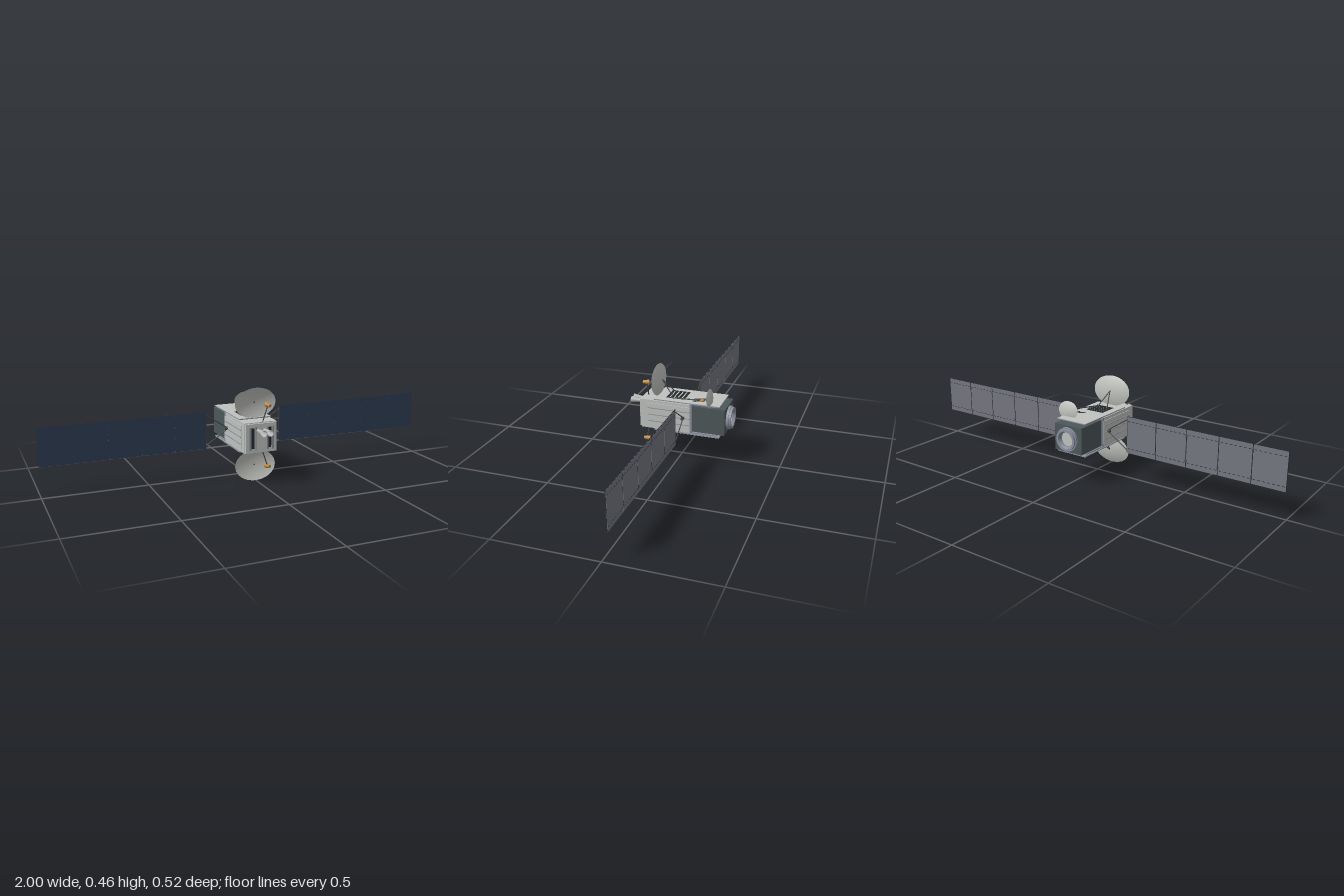
import * as THREE from 'three';

const paint = (name, color, side = THREE.FrontSide) => {
  const m = new THREE.MeshStandardMaterial({ color, side });
  m.name = name;
  return m;
};

export function createModel() {
  const root = new THREE.Group();
  root.name = 'satellite';
  const hull = paint('hull grey', 0xbfc2be);
  const dark = paint('dark blanket', 0x4d5759);
  const steel = paint('blue grey trim', 0x8b909e);
  const strutMat = paint('strut grey', 0x45484b);
  const gold = paint('gold feed', 0xbd8a3e);
  const navy = paint('solar cell navy', 0x2d3c52);
  const backing = paint('panel backing', 0x74767f);
  const black = paint('near black', 0x26292d);
  const dishMat = paint('dish grey', 0xbfc1bc, THREE.DoubleSide);
  const bell = paint('nozzle grey', 0xb4b6b4, THREE.DoubleSide);
  const CY = 0.233;

  const add = (name, geo, mat, x = 0, y = 0, z = 0, parent = root) => {
    const m = new THREE.Mesh(geo, mat);
    m.name = name;
    m.position.set(x, y, z);
    parent.add(m);
    return m;
  };
  const box = (name, mat, w, h, d, x, y, z, parent) =>
    add(name, new THREE.BoxGeometry(w, h, d), mat, x, y, z, parent);
  // Round rod or cone between two points
  const rod = (name, mat, a, b, r1, r2 = r1, parent = root) => {
    const p = new THREE.Vector3(...a), q = new THREE.Vector3(...b);
    const dir = q.clone().sub(p);
    const m = add(name, new THREE.CylinderGeometry(r2, r1, dir.length(), 12), mat, 0, 0, 0, parent);
    m.position.copy(p.add(q).multiplyScalar(0.5));
    m.quaternion.setFromUnitVectors(new THREE.Vector3(0, 1, 0), dir.normalize());
    return m;
  };
  // Shallow oval reflector opening towards +z
  const dish = (name, rx, ry, depth, tilt, x, y, z, parent) => {
    const pts = [];
    for (let i = 0; i <= 10; i++) pts.push(new THREE.Vector2(i / 10, (i / 10) ** 2 - 1));
    const geo = new THREE.LatheGeometry(pts, 40).rotateX(Math.PI / 2).scale(rx, ry, depth);
    add(name, geo, dishMat, x, y, z, parent).rotation.x = tilt;
  };

  // Main body, collar and rear compartment
  box('mainBody', hull, 0.164, 0.148, 0.25, 0, CY, 0.058);
  box('frontPlate', hull, 0.158, 0.14, 0.012, 0, CY, 0.187);
  box('rearCollar', steel, 0.166, 0.149, 0.01, 0, CY, -0.069);
  box('rearCompartment', dark, 0.156, 0.132, 0.165, 0, CY, -0.1545);

  // Docking ring at the rear
  const ring = [[0.034, 0], [0.058, 0], [0.058, 0.012], [0.053, 0.012], [0.053, 0.023],
    [0.042, 0.023], [0.036, 0.01], [0.034, 0.01], [0.034, 0]];
  const ringGeo = new THREE.LatheGeometry(ring.map(p => new THREE.Vector2(...p)), 40)
    .toNonIndexed().rotateX(-Math.PI / 2);
  ringGeo.computeVertexNormals();
  add('rearRing', ringGeo, steel, 0, CY, -0.237);
  add('ringFloor', new THREE.CylinderGeometry(0.035, 0.035, 0.006, 32).rotateX(Math.PI / 2), hull, 0, CY, -0.238);

  // Front rails and twin thrusters
  for (const s of [-1, 1]) {
    box('frontRail', steel, 0.01, 0.113, 0.008, s * 0.058, CY, 0.196);
    box('frontRail', steel, 0.006, 0.113, 0.008, s * 0.03, CY, 0.196);
    box('frontSlot', black, 0.014, 0.1, 0.002, s * 0.044, CY, 0.1935);
    const prof = [[0.008, 0], [0.009, 0.025], [0.0115, 0.045], [0.0155, 0.07]]
      .map(p => new THREE.Vector2(...p));
    add('thruster', new THREE.LatheGeometry(prof, 24).rotateX(Math.PI / 2), bell, s * 0.0165, 0.27, 0.192);
  }

  // Side panels with ribs, hinges, yokes and solar wings
  for (const s of [-1, 1]) {
    box('sidePanel', hull, 0.005, 0.116, 0.218, s * 0.083, CY, 0.044);
    for (const dy of [-0.034, 0, 0.034])
      box('sideRib', steel, 0.004, 0.003, 0.212, s * 0.087, CY + dy, 0.043);

    const wing = new THREE.Group();
    wing.name = s > 0 ? 'leftWing' : 'rightWing';
    wing.position.set(0, CY + 0.002, -0.03);
    root.add(wing);
    rod('wingHinge', strutMat, [s * 0.08, 0, 0], [s * 0.098, 0, 0], 0.01, 0.008, wing);
    for (const v of [-1, 1])
      rod('yokeArm', strutMat, [s * 0.092, v * 0.008, 0], [s * 0.198, v * 0.078, 0], 0.0025, 0.0025, wing);
    rod('yokeBar', strutMat, [s * 0.197, -0.088, 0], [s * 0.197, 0.088, 0], 0.0022, 0.0022, wing);

    for (let i = 0; i < 5; i++) {
      const x = s * (0.195 + 0.161 * (i + 0.5));
      box('panelFrame', black, 0.159, 0.185, 0.002, x, 0, 0, wing);
      box('solarCells', navy, 0.1588, 0.1845, 0.001, x, 0, 0.0015, wing);
      box('panelBack', backing, 0.157, 0.182, 0.001, x, 0, -0.0015, wing);
      if (i < 4) for (const v of [-1, 1])
        box('panelHinge', strutMat, 0.008, 0.014, 0.002, x + s * 0.0805, v * 0.06, -0.002, wing);
      for (let k = 0; k < 7; k++) for (const v of [-1, 1])
        box('backDash', black, 0.012, 0.0025, 0.0008, x + (k - 3) * 0.0225, v * 0.068, -0.0023, wing);
    }
  }

  // Radiator decks, louvres, main dishes and feeds, mirrored top and bottom
  for (const s of [1, -1]) {
    const deck = new THREE.Group();
    deck.name = s > 0 ? 'upperDeck' : 'lowerDeck';
    deck.position.y = CY;
    root.add(deck);
    box('deckEdge', steel, 0.166, 0.004, 0.333, 0, s * 0.0795, -0.0465, deck);
    box('deckSkin', hull, 0.164, 0.002, 0.331, 0, s * 0.0818, -0.0465, deck);
    box('deckCore', steel, 0.15, 0.006, 0.295, 0, s * 0.075, -0.0475, deck);
    for (let i = 0; i < 5; i++)
      box('louvre', black, 0.09, 0.004, 0.011, 0, s * 0.0838, 0.06 - i * 0.02, deck);
    for (const v of [-1, 1])
      box('louvreFrame', strutMat, 0.003, 0.003, 0.095, v * 0.046, s * 0.0838, 0.02, deck);

    dish('mainDish', 0.105, 0.0755, 0.016, s * 0.105, 0, s * 0.154, 0.1215, deck);
    add('dishHub', new THREE.SphereGeometry(0.004, 12, 8), strutMat, 0, s * 0.154, 0.107, deck);
    for (const v of [-1, 1])
      rod('dishStrut', strutMat, [v * 0.03, s * 0.08, 0.035], [0, s * 0.156, 0.106], 0.0025, 0.0025, deck);
    rod('feedPost', strutMat, [0.015, s * 0.068, 0.17], [0.043, s * 0.15, 0.17], 0.0028, 0.0028, deck);
    rod('feedHorn', gold, [0.047, s * 0.149, 0.187], [0.042, s * 0.151, 0.156], 0.008, 0.012, deck);
  }

  // Small rear dish with its feed boom
  dish('rearDish', 0.056, 0.0445, 0.01, 0.15, 0.06, 0.343, -0.157);
  for (const x of [0.02, 0.055])
    rod('rearDishStrut', strutMat, [x, 0.315, -0.07], [0.06, 0.341, -0.166], 0.0025);
  rod('feedBoom', strutMat, [0.045, 0.317, 0.04], [0.077, 0.336, -0.117], 0.003);
  rod('rearFeedHorn', gold, [0.078, 0.336, -0.116], [0.081, 0.339, -0.135], 0.005, 0.008);

  return root;
}
